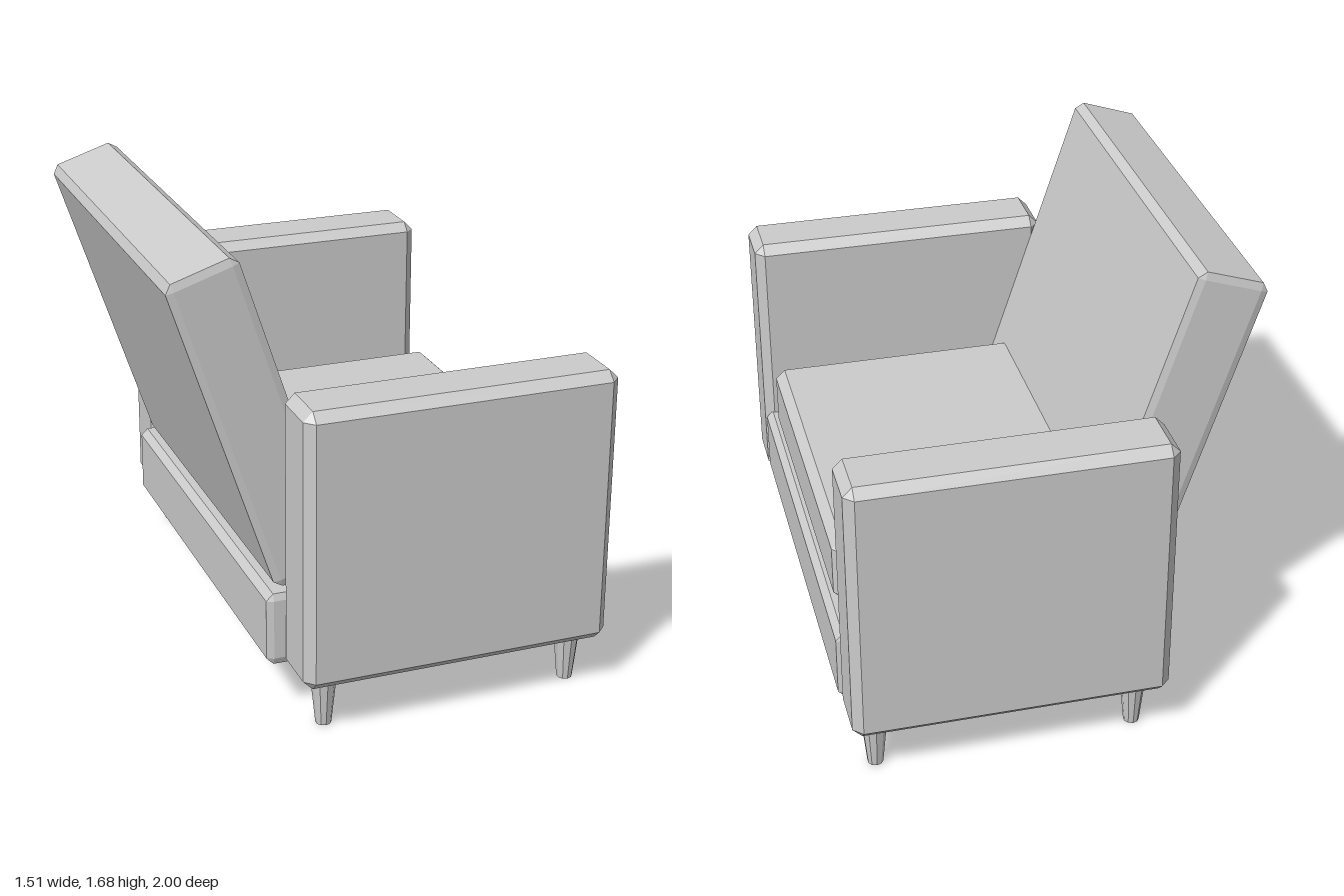
import * as THREE from 'three';
import { ConvexGeometry } from 'three/addons/geometries/ConvexGeometry.js';

const material = new THREE.MeshStandardMaterial({ color: 0xcccccc, flatShading: true });

// Box with bevelled edges; size and bevel are [x, y, z]
function bevelledBox(name, size, bevel, position) {
  const points = [];
  for (const sx of [-1, 1]) for (const sy of [-1, 1]) for (const sz of [-1, 1]) {
    const signs = [sx, sy, sz];
    // each corner becomes three points, one on each meeting face
    for (let face = 0; face < 3; face++) {
      const p = signs.map((s, i) => s * (size[i] / 2 - (i === face ? 0 : bevel[i])));
      points.push(new THREE.Vector3(...p));
    }
  }
  const mesh = new THREE.Mesh(new ConvexGeometry(points), material);
  mesh.name = name;
  mesh.position.set(...position);
  return mesh;
}

export function createModel() {
  const chair = new THREE.Group();
  chair.name = 'armchair';

  // Seat base and cushion
  chair.add(bevelledBox('seatBase', [1.19, 0.27, 1.545], [0.025, 0.025, 0.01], [0.16, 0.335, 0.01]));
  chair.add(bevelledBox('seatCushion', [1.055, 0.25, 1.29], [0.035, 0.033, 0.043], [0.197, 0.6, 0.045]));

  // Leaning backrest
  const back = bevelledBox('backrest', [0.26, 1.187, 1.475], [0.026, 0.028, 0.008], [-0.456, 1.083, 0.028]);
  back.rotation.z = 0.318;
  chair.add(back);

  // Arms
  chair.add(bevelledBox('armPositiveZ', [1.13, 1.015, 0.24], [0.034, 0.034, 0.035], [0.193, 0.698, 0.88]));
  chair.add(bevelledBox('armNegativeZ', [1.13, 1.015, 0.24], [0.034, 0.034, 0.033], [0.181, 0.698, -0.88]));

  // Tapered legs under the arms
  const legGeometry = new THREE.CylinderGeometry(0.048, 0.028, 0.2, 10);
  for (const [x, z] of [[-0.265, 0.875], [0.66, 0.875], [-0.28, -0.88], [0.655, -0.88]]) {
    const leg = new THREE.Mesh(legGeometry, material);
    leg.name = 'leg';
    leg.position.set(x, 0.1, z);
    chair.add(leg);
  }
  return chair;
}
